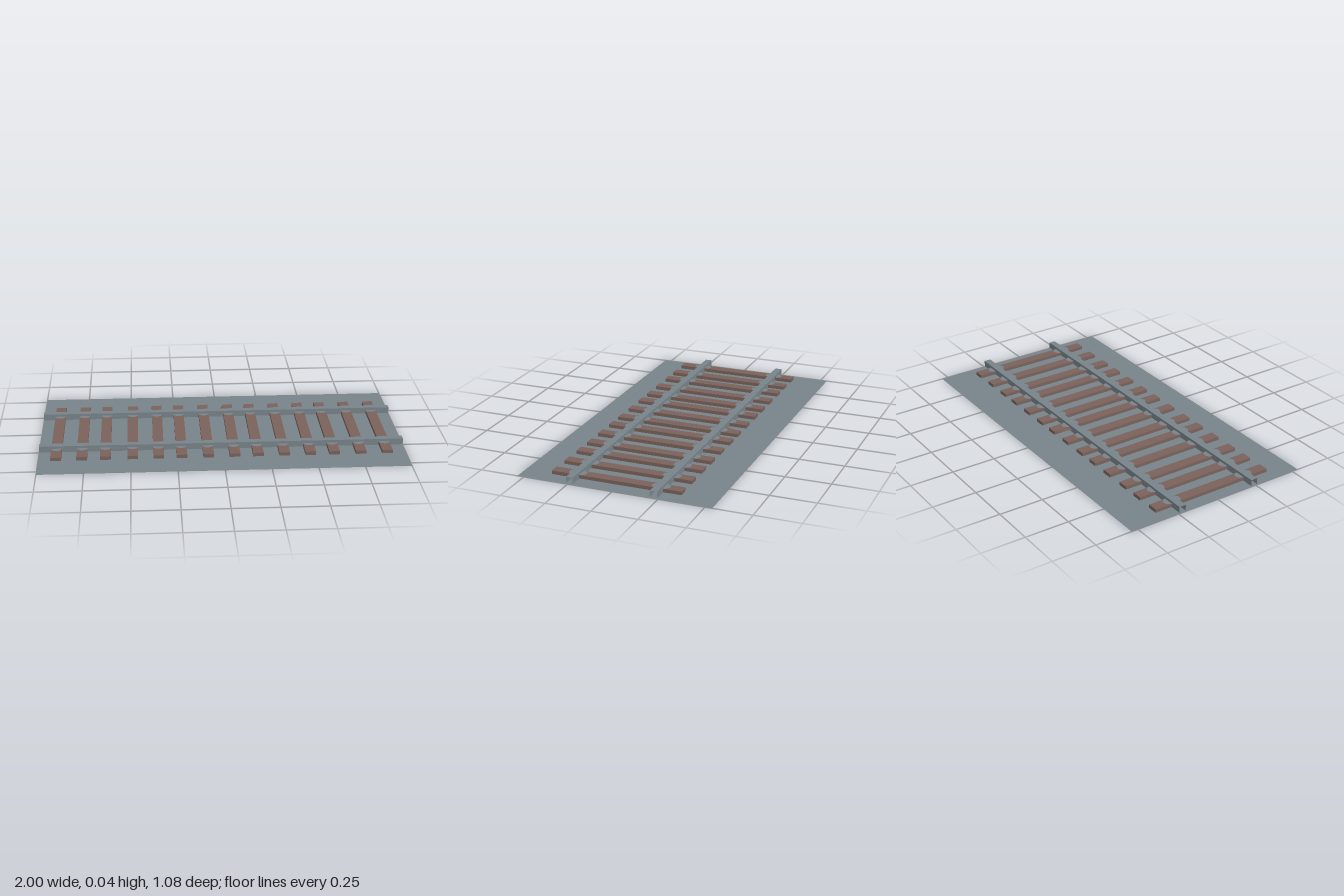
import * as THREE from 'three';

const ballast = new THREE.MeshStandardMaterial({ name: 'steel grey', color: 0x78848a, side: THREE.DoubleSide });
const wood = new THREE.MeshStandardMaterial({ name: 'sleeper brown', color: 0x7a625b, side: THREE.DoubleSide });

const SLEEPER_X = [-0.905, -0.765, -0.638, -0.49, -0.35, -0.225, -0.08, 0.063, 0.19, 0.333, 0.475, 0.605, 0.75, 0.895];
const SLEEPER_W = 0.058;
const SLEEPER_Y = [0.006, 0.025];
const RAILS = [[-0.245, -0.206], [0.22, 0.258]]; // z extents of both rails
const RAIL_Y = [0.005, 0.04];

function add(parent, name, geometry, material, x = 0, y = 0, z = 0) {
  const mesh = new THREE.Mesh(geometry, material);
  mesh.name = name;
  mesh.position.set(x, y, z);
  parent.add(mesh);
  return mesh;
}

// Rectangular hollow rail along x, open at both ends
function railGeometry(depth, height) {
  const corners = [[-1, -1], [1, -1], [1, 1], [-1, 1]];
  const pos = [];
  corners.forEach(([z0, y0], i) => {
    const [z1, y1] = corners[(i + 1) % 4];
    const p = (x, z, y) => [x, y * height / 2, z * depth / 2];
    const a = p(-1, z0, y0), b = p(1, z0, y0), c = p(1, z1, y1), d = p(-1, z1, y1);
    pos.push(...a, ...b, ...c, ...a, ...c, ...d);
  });
  // Reversing each triangle's order as needed so normals face outwards
  const g = new THREE.BufferGeometry();
  g.setAttribute('position', new THREE.Float32BufferAttribute(pos, 3));
  const arr = g.attributes.position;
  const a = new THREE.Vector3(), b = new THREE.Vector3(), c = new THREE.Vector3();
  for (let i = 0; i < arr.count; i += 3) {
    a.fromBufferAttribute(arr, i);
    b.fromBufferAttribute(arr, i + 1);
    c.fromBufferAttribute(arr, i + 2);
    const mid = a.clone().add(b).add(c).setX(0);
    const n = b.clone().sub(a).cross(c.clone().sub(a));
    if (n.dot(mid) < 0) {
      arr.setXYZ(i + 1, c.x, c.y, c.z);
      arr.setXYZ(i + 2, b.x, b.y, b.z);
    }
  }
  g.computeVertexNormals();
  return g;
}

export function createModel() {
  const model = new THREE.Group();
  model.name = 'railwayTrack';

  // Flat track bed
  add(model, 'trackBed', new THREE.PlaneGeometry(2, 1.076).rotateX(-Math.PI / 2), ballast);

  // Two rails
  const railH = RAIL_Y[1] - RAIL_Y[0];
  for (const [z0, z1] of RAILS) {
    add(model, 'rail', railGeometry(z1 - z0, railH), ballast, 0, (RAIL_Y[0] + RAIL_Y[1]) / 2, (z0 + z1) / 2);
  }

  // Sleepers, each in three pieces between and outside the rails
  const pieces = [[-0.345, RAILS[0][0]], [RAILS[0][1], RAILS[1][0]], [RAILS[1][1], 0.377]];
  const h = SLEEPER_Y[1] - SLEEPER_Y[0];
  const half = [0, Math.PI].map((start) =>
    new THREE.CircleGeometry(0.03, 10, start, Math.PI).rotateX(-Math.PI / 2));
  for (const x of SLEEPER_X) {
    const sleeper = new THREE.Group();
    sleeper.name = 'sleeper';
    sleeper.position.x = x;
    model.add(sleeper);
    for (const [z0, z1] of pieces) {
      add(sleeper, 'sleeperPiece', new THREE.BoxGeometry(SLEEPER_W, h, z1 - z0), wood,
        0, SLEEPER_Y[0] + h / 2, (z0 + z1) / 2);
    }
    // Rounded fastening plates on both sides of each rail
    for (const [z0, z1] of RAILS) {
      add(sleeper, 'fasteningPlate', half[0], ballast, 0, SLEEPER_Y[1] + 0.001, z0);
      add(sleeper, 'fasteningPlate', half[1], ballast, 0, SLEEPER_Y[1] + 0.001, z1);
    }
  }

  // Small wedge of wood beside one sleeper
  const wedge = new THREE.BufferGeometry();
  wedge.setAttribute('position', new THREE.Float32BufferAttribute(
    [0, 0, -0.245, 0.036, 0, -0.245, 0.036, 0, -0.345], 3));
  wedge.computeVertexNormals();
  add(model, 'woodWedge', wedge, wood, 0, 0.02, 0);

  return model;
}
